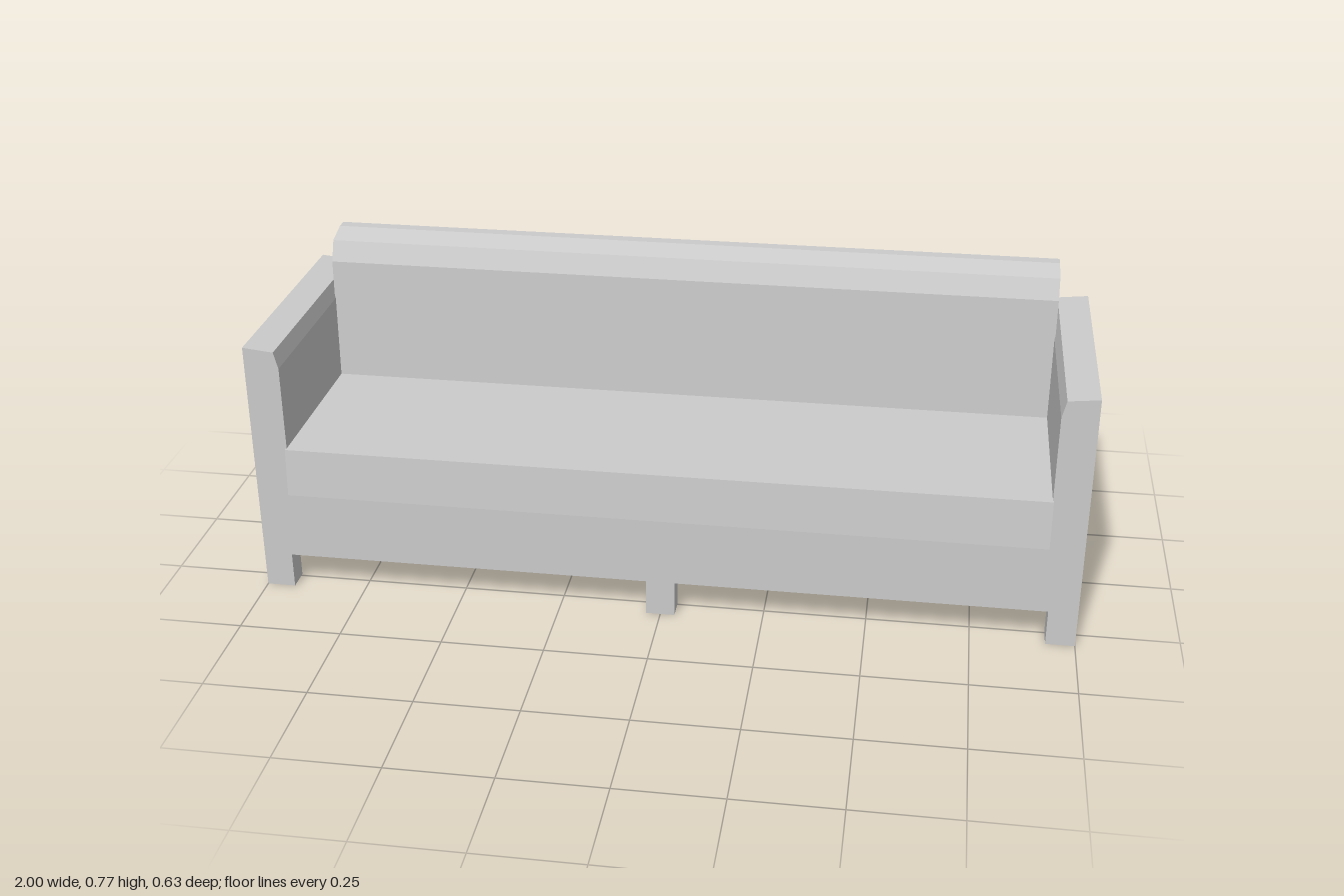
import * as THREE from 'three';

const FRONT = 0.3, BACK = -0.315, INNER = 0.915, BASE_Y = 0.09;

export function createModel() {
  const sofa = new THREE.Group();
  sofa.name = 'sofa';
  const material = new THREE.MeshStandardMaterial({ color: 0xcccccc, flatShading: true });

  const add = (name, geometry) => {
    const mesh = new THREE.Mesh(geometry, material);
    mesh.name = name;
    sofa.add(mesh);
    return mesh;
  };

  // Box given by its min and max corners
  const box = (name, [x0, y0, z0], [x1, y1, z1]) =>
    add(name, new THREE.BoxGeometry(x1 - x0, y1 - y0, z1 - z0))
      .position.set((x0 + x1) / 2, (y0 + y1) / 2, (z0 + z1) / 2);

  const extrude = (points, depth) => new THREE.ExtrudeGeometry(
    new THREE.Shape(points.map(([a, b]) => new THREE.Vector2(a, b))),
    { depth, bevelEnabled: false });

  // (z, y) profile swept across the sofa's width, centred on x = 0
  const across = (name, points, width) =>
    add(name, extrude(points, width).translate(0, 0, -width / 2).rotateY(-Math.PI / 2));

  // Base and low back board between the arms
  box('base', [-INNER, BASE_Y, BACK], [INNER, 0.268, FRONT]);
  box('backBoard', [-INNER, 0.268, BACK], [INNER, 0.6, -0.26]);

  // Arms with a sloped inner top edge
  for (const side of [-1, 1]) {
    const profile = [[1, BASE_Y], [1, 0.65], [0.925, 0.642], [INNER, 0.6], [INNER, BASE_Y]]
      .map(([x, y]) => [x * side, y]);
    add(side > 0 ? 'leftArm' : 'rightArm', extrude(profile, FRONT - BACK).translate(0, 0, BACK));
  }

  // Seat cushion, slightly proud of the base
  across('seatCushion',
    [[-0.26, 0.268], [0.316, 0.268], [0.308, 0.388], [-0.26, 0.388]], 1.834);

  // Back cushion with a rounded front top edge
  across('backCushion',
    [[-0.26, 0.388], [-0.138, 0.388], [-0.148, 0.7], [-0.17, 0.75], [-0.23, 0.767], [-0.26, 0.767]], 1.834);

  // Three legs along the front and three along the back
  for (const x of [-1, -0.035, 0.93]) {
    box('frontLeg', [x, 0, 0.243], [x + 0.07, BASE_Y, FRONT]);
    box('backLeg', [x, 0, BACK], [x + 0.07, BASE_Y, -0.258]);
  }
  return sofa;
}
